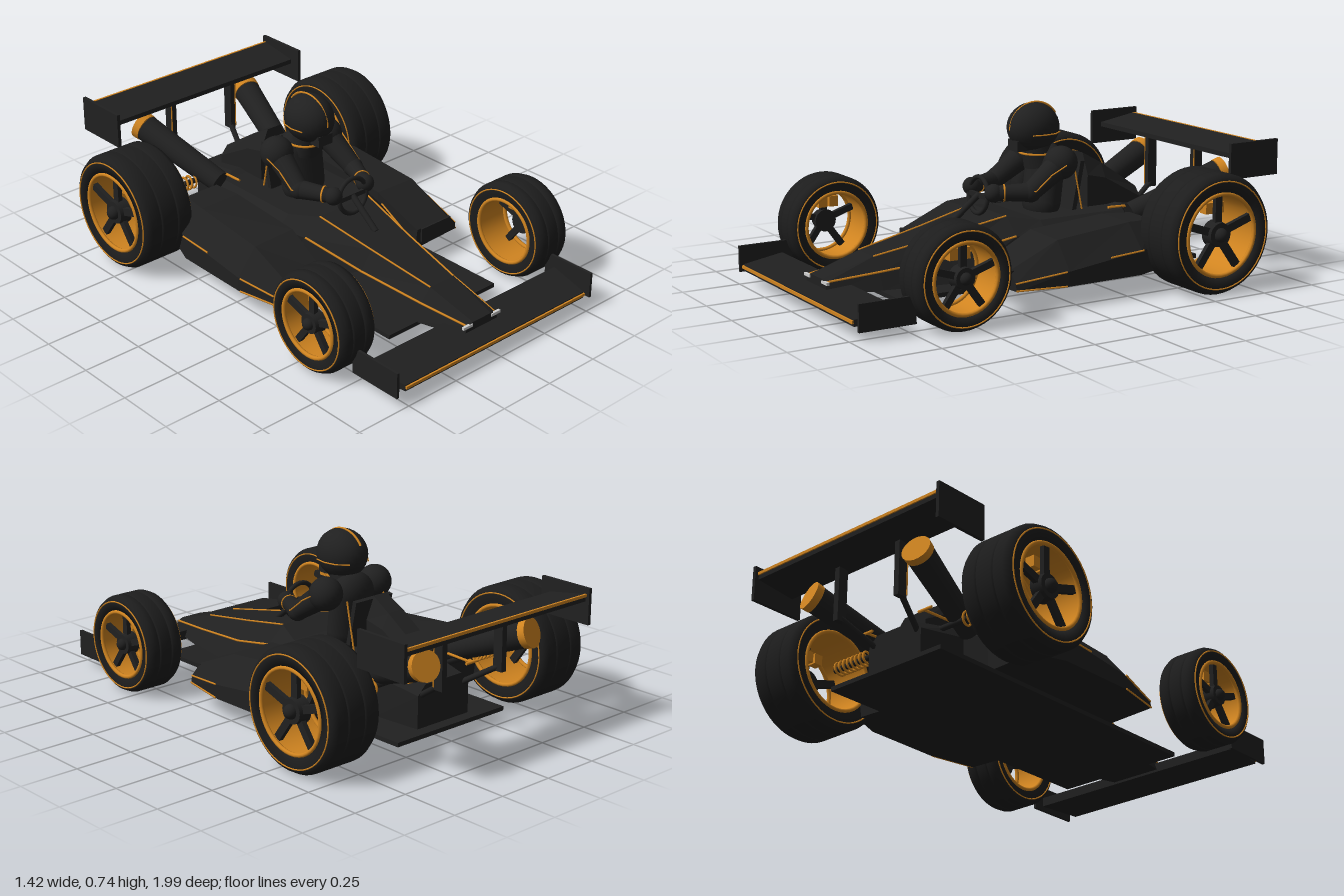
import * as THREE from 'three';

const mat = (name, color) => Object.assign(new THREE.MeshStandardMaterial({ color }), { name });
const V = (p) => new THREE.Vector3(...p);
const UP = new THREE.Vector3(0, 1, 0);

export function createModel() {
  const black = mat('black', 0x202020), tyreBlack = mat('tyre black', 0x1d1d1d);
  const gold = mat('gold', 0xd08420), silver = mat('silver', 0xd0d0d0);
  const goldOpen = gold;
  goldOpen.side = THREE.DoubleSide;
  const model = new THREE.Group();
  model.name = 'racingCar';

  const add = (name, geo, material, pos = [0, 0, 0], parent = model) => {
    const m = new THREE.Mesh(geo, material);
    m.name = name;
    m.position.set(...pos);
    parent.add(m);
    return m;
  };
  const box = (name, size, pos, material = black, parent = model) =>
    add(name, new THREE.BoxGeometry(...size), material, pos, parent);
  const ball = (name, r, pos, material = black) => add(name, new THREE.SphereGeometry(r, 24, 16), material, pos);

  // round bar from a to b
  const bar = (name, a, b, r0, r1 = r0, material = black, sides = 20) => {
    const d = V(b).sub(V(a));
    const m = add(name, new THREE.CylinderGeometry(r1, r0, d.length(), sides), material);
    m.position.copy(V(a).add(V(b)).multiplyScalar(0.5));
    m.quaternion.setFromUnitVectors(UP, d.normalize());
    return m;
  };
  // gold piping through several points
  const trim = (name, pts, r = 0.004) => {
    for (let i = 1; i < pts.length; i++) bar(name, pts[i - 1], pts[i], r, r, gold, 6);
  };
  const mirrored = (fn) => [1, -1].forEach(fn);

  // faceted skin over rings ordered front to back, each counterclockwise from the front
  const loft = (zs, rings) => {
    const pos = [];
    const P = (i, j) => [...rings[i][j % rings[i].length], zs[i]];
    const n = rings[0].length, last = rings.length - 1;
    for (let i = 0; i < last; i++)
      for (let j = 0; j < n; j++) {
        const a = P(i, j), b = P(i, j + 1), c = P(i + 1, j + 1), d = P(i + 1, j);
        pos.push(...a, ...d, ...c, ...a, ...c, ...b);
      }
    for (let j = 1; j < n - 1; j++) {
      pos.push(...P(0, 0), ...P(0, j), ...P(0, j + 1));
      pos.push(...P(last, 0), ...P(last, j + 1), ...P(last, j));
    }
    const g = new THREE.BufferGeometry();
    g.setAttribute('position', new THREE.Float32BufferAttribute(pos, 3));
    g.computeVertexNormals();
    return g;
  };
  const flip = (ring) => ring.map(([x, y]) => [-x, y]).reverse();
  const whole = (half) => [...half, ...flip(half)];

  // floor and monocoque
  box('floor', [0.59, 0.018, 1.43], [0, 0.065, -0.035]);
  add('body', loft([0.89, 0.67, 0.37, 0.1, -0.03, -0.44, -0.48, -0.7], [
    [[0.095, 0.08], [0.08, 0.12], [0.05, 0.13]],
    [[0.145, 0.07], [0.115, 0.14], [0.065, 0.195]],
    [[0.2, 0.07], [0.155, 0.17], [0.1, 0.25]],
    [[0.24, 0.07], [0.215, 0.235], [0.135, 0.305]],
    [[0.25, 0.07], [0.245, 0.24], [0.19, 0.285]],
    [[0.25, 0.07], [0.245, 0.24], [0.19, 0.285]],
    [[0.16, 0.07], [0.155, 0.24], [0.12, 0.29]],
    [[0.14, 0.07], [0.14, 0.21], [0.1, 0.25]],
  ].map(whole)), black);
  add('engineScoop', loft([-0.34, -0.43, -0.61], [
    [[0.075, 0.27], [0.075, 0.42], [0.035, 0.51]],
    [[0.075, 0.27], [0.075, 0.4], [0.04, 0.46]],
    [[0.075, 0.24], [0.075, 0.3], [0.04, 0.34]],
  ].map(whole)), black);

  mirrored((s) => {
    // nose piping and its tips
    trim('outerNoseTrim', [[s * 0.08, 0.122, 0.88], [s * 0.115, 0.142, 0.67], [s * 0.155, 0.172, 0.37], [s * 0.215, 0.237, 0.1]], 0.005);
    trim('innerNoseTrim', [[s * 0.065, 0.196, 0.67], [s * 0.1, 0.251, 0.37], [s * 0.135, 0.306, 0.1]]);
    box('noseTip', [0.05, 0.012, 0.012], [s * 0.077, 0.119, 0.888], silver);
    // sidepod
    const pod = [
      [[0.25, 0.08], [0.49, 0.09], [0.485, 0.12], [0.44, 0.165], [0.26, 0.165]],
      [[0.24, 0.08], [0.53, 0.09], [0.53, 0.15], [0.44, 0.26], [0.24, 0.265]],
      [[0.24, 0.08], [0.525, 0.09], [0.525, 0.19], [0.43, 0.29], [0.24, 0.29]],
      [[0.24, 0.08], [0.47, 0.09], [0.47, 0.19], [0.4, 0.28], [0.24, 0.28]],
    ];
    add('sidepod', loft([0.27, 0.05, -0.3, -0.44], s > 0 ? pod : pod.map(flip)), black);
    box('podIntake', [0.17, 0.06, 0.02], [s * 0.365, 0.135, 0.268]);
    trim('podTrim', [[s * 0.49, 0.092, 0.27], [s * 0.53, 0.092, 0.06]]);
    trim('podTrim', [[s * 0.485, 0.12, 0.27], [s * 0.53, 0.15, 0.06]]);
    trim('podTrim', [[s * 0.526, 0.18, -0.15], [s * 0.526, 0.19, -0.31]]);
    // engine rails
    trim('engineRail', [[s * 0.155, 0.29, -0.39], [s * 0.155, 0.28, -0.7]], 0.006);
    trim('engineRailEnd', [[s * 0.125, 0.28, -0.7], [s * 0.195, 0.28, -0.7]], 0.006);
    // exhaust
    bar('exhaustPipe', [s * 0.19, 0.26, -0.48], [s * 0.285, 0.41, -0.86], 0.048, 0.058);
    bar('exhaustTip', [s * 0.285, 0.41, -0.86], [s * 0.292, 0.42, -0.89], 0.06, 0.062, gold);
    // rear spring on its damper
    const coil = [];
    for (let i = 0; i <= 128; i++) {
      const a = i / 128 * Math.PI * 16;
      coil.push(V([s * (0.255 + 0.185 * i / 128), 0.25 + 0.028 * Math.cos(a), -0.58 + 0.028 * Math.sin(a)]));
    }
    add('rearSpring', new THREE.TubeGeometry(new THREE.CatmullRomCurve3(coil), 256, 0.005, 6), gold);
    bar('rearDamper', [s * 0.13, 0.25, -0.58], [s * 0.46, 0.25, -0.58], 0.012);
    // wing plates and pylons
    box('frontEndplate', [0.012, 0.11, 0.24], [s * 0.54, 0.1, 0.862]);
    box('rearEndplate', [0.015, 0.15, 0.245], [s * 0.505, 0.505, -0.875]);
    box('rearPylon', [0.025, 0.23, 0.045], [s * 0.165, 0.395, -0.84]);
    trim('pylonTrim', [[s * 0.178, 0.29, -0.818], [s * 0.178, 0.5, -0.818]], 0.003);
    bar('pylonBrace', [s * 0.11, 0.2, -0.68], [s * 0.165, 0.3, -0.84], 0.012);
  });

  // front wing, tapering forward
  add('frontWing', loft([0.98, 0.79], [
    [[-0.5, 0.058], [0.5, 0.058], [0.5, 0.085], [-0.5, 0.085]],
    [[-0.535, 0.065], [0.535, 0.065], [0.535, 0.105], [-0.535, 0.105]],
  ]), black);
  box('frontWingTrim', [1.0, 0.012, 0.009], [0, 0.075, 0.983], gold);
  // rear wing
  add('rearWing', loft([-0.8, -0.98], [
    [[-0.5, 0.505], [0.5, 0.505], [0.5, 0.525], [-0.5, 0.525]],
    [[-0.5, 0.525], [0.5, 0.525], [0.5, 0.555], [-0.5, 0.555]],
  ]), black);
  box('rearWingTrim', [1.0, 0.012, 0.009], [0, 0.55, -0.981], gold);

  // wheels: local +y is the outer face
  const wheel = (name, r, w, x, z, s) => {
    const g = new THREE.Group();
    g.name = name;
    g.position.set(s * x, r + 0.003, z);
    g.rotation.z = -s * Math.PI / 2;
    model.add(g);
    const h = w / 2, q = w / 6, rim = r * 0.7;
    const groove = (y) => [[r, y - 0.006], [r - 0.008, y - 0.003], [r - 0.008, y + 0.003], [r, y + 0.006]];
    const profile = [[rim, -h + 0.01], [r * 0.86, -h], [r * 0.95, -h + 0.008], [r, -h + 0.03], ...groove(-q), ...groove(q),
      [r, h - 0.03], [r * 0.95, h - 0.008], [r * 0.86, h], [rim, h - 0.01], [rim, -h + 0.01]];
    add('tyre', new THREE.LatheGeometry(profile.map((p) => new THREE.Vector2(...p)), 48), tyreBlack, [0, 0, 0], g);
    add('rimBarrel', new THREE.CylinderGeometry(rim - 0.002, rim - 0.002, w - 0.02, 40, 1, true), goldOpen, [0, 0, 0], g);
    [1, -1].forEach((k) => {
      const lip = add('rimLip', new THREE.TorusGeometry(rim - 0.006, 0.009, 8, 40), gold, [0, k * (h - 0.012), 0], g);
      const ring = add('sidewallRing', new THREE.TorusGeometry(r * 0.89, 0.003, 6, 48), gold, [0, k * (h - 0.001), 0], g);
      lip.rotation.x = ring.rotation.x = Math.PI / 2;
    });
    // five spokes, hub and brake caliper
    for (let i = 0; i < 5; i++) {
      const spoke = new THREE.Group();
      spoke.name = 'spoke';
      spoke.rotation.y = i * Math.PI * 0.4 + (s > 0 ? Math.PI : 0);
      g.add(spoke);
      box('spokeArm', [rim, 0.02, r * 0.13], [rim / 2, h - 0.04, 0], black, spoke);
    }
    add('hub', new THREE.CylinderGeometry(r * 0.2, r * 0.23, 0.05, 24), black, [0, h - 0.04, 0], g);
    add('hubNut', new THREE.SphereGeometry(r * 0.12, 16, 10), black, [0, h - 0.015, 0], g);
    [1, -1].forEach((k) => box('brakeCaliper', [0.045, 0.04, 0.04], [-s * r * 0.42, h - 0.075, k * 0.025], gold, g));
  };
  mirrored((s) => {
    wheel('frontWheel', 0.207, 0.18, 0.54, 0.57, s);
    wheel('rearWheel', 0.248, 0.248, 0.571, -0.575, s);
  });

  // seat back with piped edges
  const seat = box('seatBack', [0.2, 0.22, 0.02], [0, 0.38, -0.275]);
  seat.rotation.x = -0.2;
  mirrored((s) => trim('seatTrim', [[s * 0.1, 0.28, -0.295], [s * 0.1, 0.48, -0.253]]));

  // driver torso and neck
  const torso = add('driverTorso', new THREE.CapsuleGeometry(0.085, 0.14, 8, 24), black, [0, 0.4, -0.165]);
  torso.scale.set(1.2, 1.1, 0.85);
  torso.rotation.x = -0.12;
  bar('driverNeck', [0, 0.48, -0.15], [0, 0.57, -0.125], 0.07, 0.06);
  const collar = add('collarTrim', new THREE.TorusGeometry(0.078, 0.005, 6, 32), gold, [0, 0.527, -0.14]);
  collar.rotation.x = Math.PI / 2;

  // helmet with crest and visor line
  const helmet = ball('helmet', 1, [0, 0.635, -0.115]);
  helmet.scale.set(0.097, 0.103, 0.115);
  box('helmetChin', [0.075, 0.045, 0.05], [0, 0.565, -0.04]);
  const crest = add('helmetCrest', new THREE.TorusGeometry(0.114, 0.005, 6, 40, 2.6), gold, [0, 0.63, -0.122]);
  crest.rotation.set(0, Math.PI / 2, 0);
  crest.geometry.rotateZ(0.55);
  crest.scale.set(1.04, 0.95, 1);
  mirrored((s) => trim('visorTrim', [[s * 0.088, 0.613, -0.06], [s * 0.098, 0.613, -0.115], [s * 0.088, 0.613, -0.17], [s * 0.05, 0.613, -0.215]], 0.003));

  // arms reaching to the steering wheel
  mirrored((s) => {
    const shoulder = [s * 0.135, 0.5, -0.165], elbow = [s * 0.15, 0.395, -0.01], hand = [s * 0.088, 0.395, 0.13];
    ball('shoulder', 0.07, shoulder);
    bar('upperArm', shoulder, elbow, 0.055, 0.04);
    ball('elbow', 0.042, elbow);
    bar('forearm', elbow, hand, 0.04, 0.03);
    ball('glove', 0.038, hand);
    bar('cuff', [s * 0.107, 0.395, 0.088], [s * 0.104, 0.395, 0.094], 0.0355, 0.0355, gold);
    trim('sleeveTrim', [[s * 0.193, 0.46, -0.08], [s * 0.192, 0.405, -0.01], [s * 0.15, 0.395, 0.06]], 0.003);
    trim('shoulderTrim', [[s * 0.203, 0.5, -0.15], [s * 0.193, 0.462, -0.08]], 0.003);
  });

  // steering wheel and column
  const steering = add('steeringWheel', new THREE.TorusGeometry(0.075, 0.01, 10, 32), black, [0, 0.375, 0.15]);
  steering.rotation.x = -0.1;
  box('steeringSpoke', [0.15, 0.02, 0.012], [0, 0.375, 0.15]);
  bar('steeringColumn', [0, 0.375, 0.15], [0, 0.265, 0.29], 0.013);
  return model;
}
